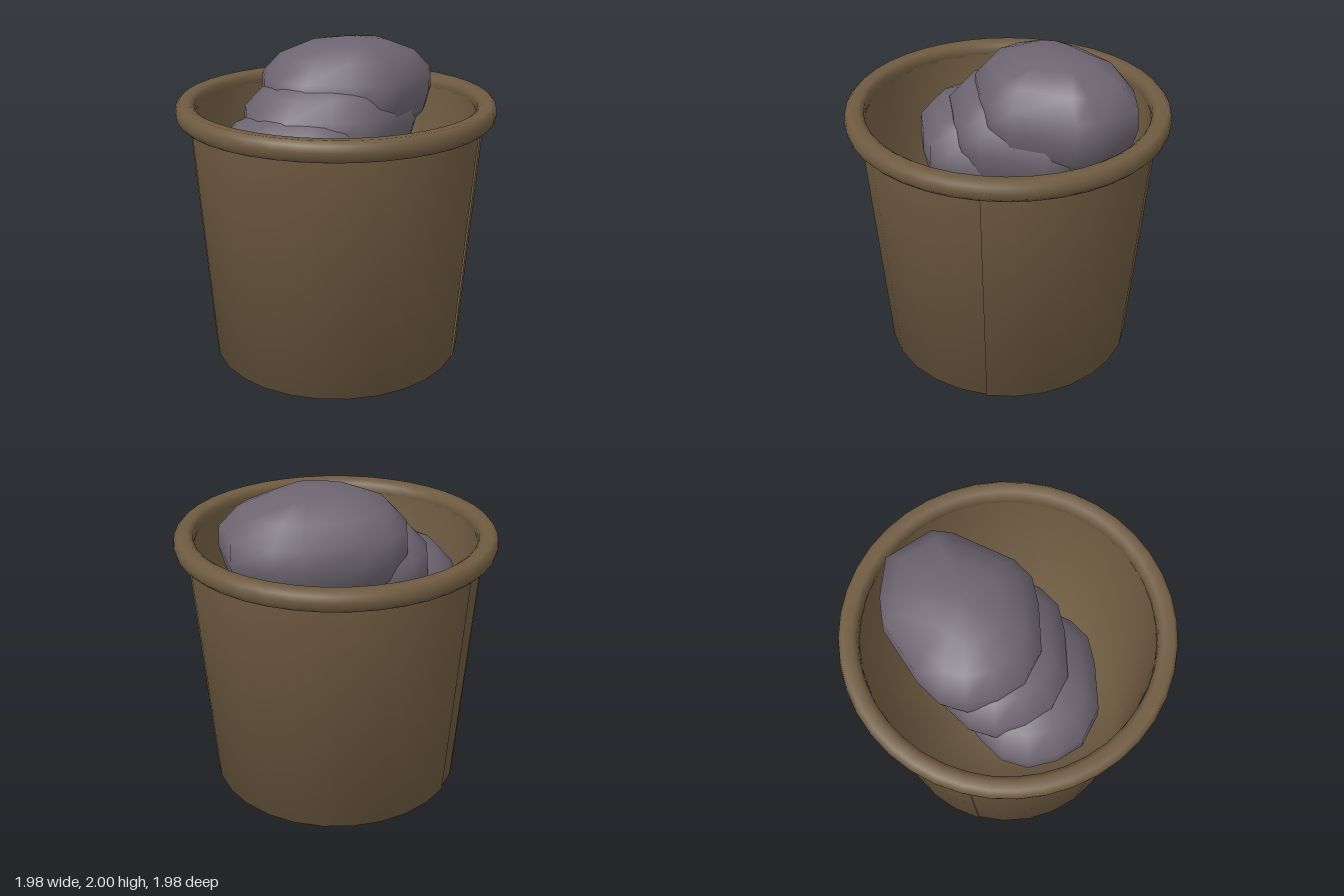
import * as THREE from 'three';

export function createModel() {
  const model = new THREE.Group();
  const brown = new THREE.MeshStandardMaterial({ color: 0x6f5b41, side: THREE.DoubleSide });
  brown.name = 'brownClay';
  const grey = new THREE.MeshStandardMaterial({ color: 0x6d6571 });
  grey.name = 'greyStone';

  const add = (name, geometry, material) => {
    const mesh = new THREE.Mesh(geometry, material);
    mesh.name = name;
    model.add(mesh);
    return mesh;
  };
  const profile = (points) => points.map(([r, y]) => new THREE.Vector2(r, y));

  // Tapered outer wall and base, in two halves that meet at a seam
  const shell = (step) => profile([[0, 0], [0.8 + step, 0], [0.91 + step, 1.6]]);
  add('frontShell', new THREE.LatheGeometry(shell(0), 14, -Math.PI * 0.75, Math.PI), brown);
  add('backShell', new THREE.LatheGeometry(shell(0.008), 14, Math.PI / 4, Math.PI), brown);

  // Inner wall and floor
  add('innerWall', new THREE.LatheGeometry(
    profile([[0.87, 1.6], [0.77, 0.03], [0, 0.03]]), 28), brown);

  // Rounded rim
  add('rim', new THREE.LatheGeometry(profile([
    [0.895, 1.545], [0.96, 1.545], [0.983, 1.57], [0.99, 1.608], [0.983, 1.645],
    [0.96, 1.67], [0.9, 1.665], [0.872, 1.645], [0.868, 1.59], [0.895, 1.545],
  ]), 40), brown);

  // Lumpy stone: one plan outline, scaled at each level
  const outline = [
    [-0.37, -0.28], [-0.32, -0.45], [-0.2, -0.56], [-0.02, -0.61], [0.35, -0.63],
    [0.5, -0.57], [0.71, -0.42], [0.735, -0.1], [0.66, 0], [0.32, 0.23],
    [0.17, 0.265], [0, 0.21], [-0.25, 0.08], [-0.365, -0.1],
  ];
  const levels = [
    [1.3, 0], [1.32, 0.4], [1.39, 0.72], [1.5, 0.93], [1.64, 1],
    [1.77, 0.985], [1.89, 0.78], [1.965, 0.45], [2, 0],
  ];
  const n = outline.length;
  const positions = [];
  const index = [];
  levels.forEach(([y, s], row) => {
    outline.forEach(([x, z], i) => {
      positions.push(0.17 + (x - 0.17) * s, y, -0.19 + (z + 0.19) * s);
      if (row === 0) return;
      const a = (row - 1) * n + i;
      const b = (row - 1) * n + (i + 1) % n;
      if (row > 1) index.push(a, a + n, b);
      if (row < levels.length - 1) index.push(b, a + n, b + n);
      else index.push(a, a + n, b);
    });
  });
  // Drop the repeated last triangles and share one vertex at each tip
  const faces = [];
  const tipStart = (levels.length - 1) * n;
  const share = (v) => (v < n ? 0 : v >= tipStart ? tipStart : v);
  for (let i = 0; i < index.length; i += 3) {
    const [a, b, c] = index.slice(i, i + 3).map(share);
    if (a !== b && b !== c && a !== c) faces.push(a, c, b);
  }
  const stone = new THREE.BufferGeometry();
  stone.setAttribute('position', new THREE.Float32BufferAttribute(positions, 3));
  // The outline runs clockwise seen from above, so faces are wound to point outwards
  const mid = new THREE.Vector3(0.17, 1.65, -0.19);
  const corner = (v) => new THREE.Vector3().fromArray(positions, v * 3);
  for (let i = 0; i < faces.length; i += 3) {
    const [a, b, c] = [0, 1, 2].map((k) => corner(faces[i + k]));
    const normal = b.clone().sub(a).cross(c.clone().sub(a));
    if (normal.dot(a.sub(mid)) < 0) {
      [faces[i + 1], faces[i + 2]] = [faces[i + 2], faces[i + 1]];
    }
  }
  stone.setIndex(faces);
  stone.computeVertexNormals();

  // Three overlapping stones stepping down to one side
  [[0, 0, 0], [-0.16, -0.19, 0.09], [-0.37, -0.37, 0.185]].forEach((offset, i) => {
    add(['upperStone', 'middleStone', 'lowerStone'][i], stone, grey).position.set(...offset);
  });

  return model;
}
